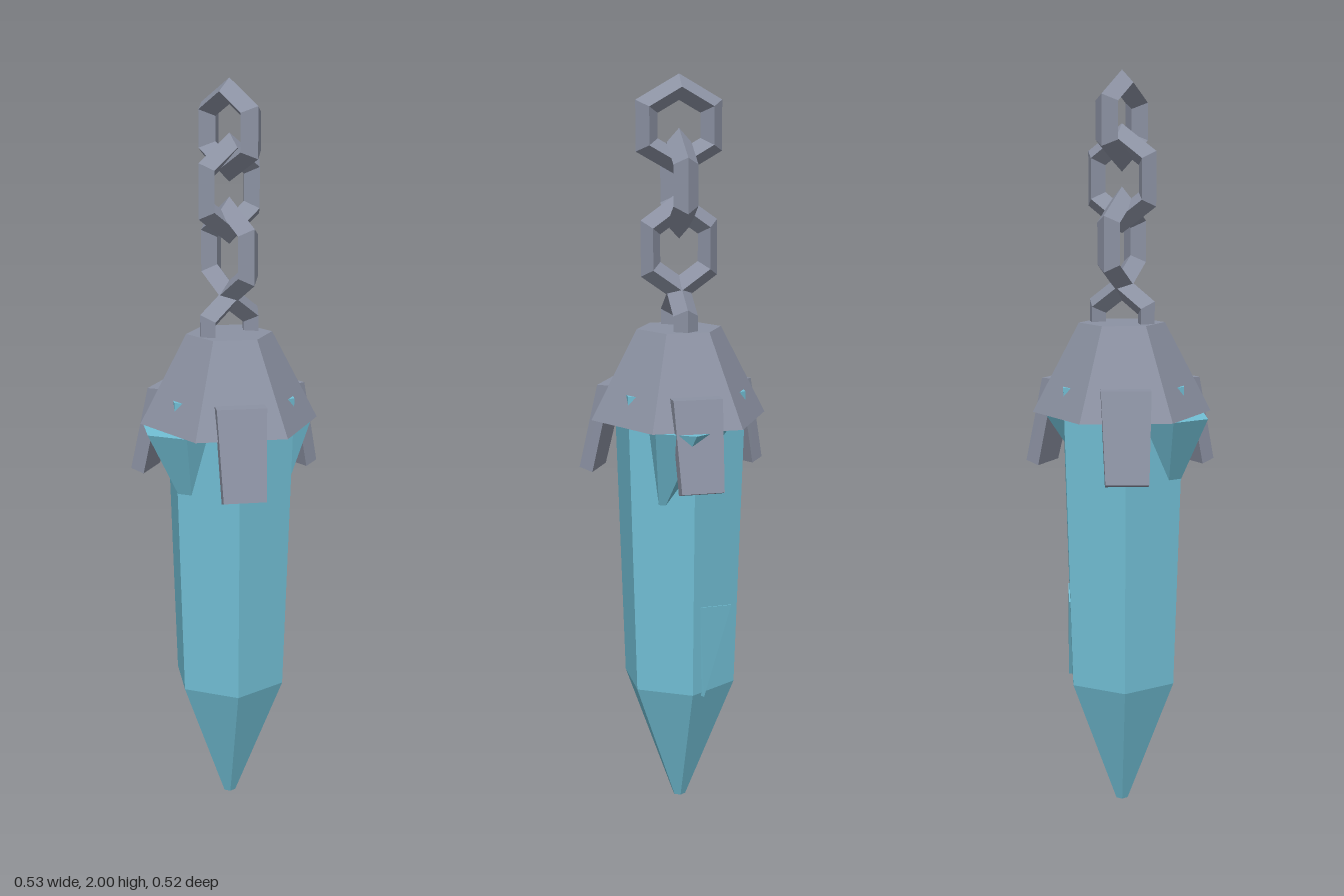
import * as THREE from 'three';

export function createModel() {
  const model = new THREE.Group();
  model.name = 'crystalPendant';

  const metal = new THREE.MeshStandardMaterial({ name: 'grey metal', color: 0x8c92a3, flatShading: true });
  const crystal = new THREE.MeshStandardMaterial({ name: 'blue crystal', color: 0x72c0d6, flatShading: true });

  const add = (name, geometry, material) => {
    const mesh = new THREE.Mesh(geometry, material);
    mesh.name = name;
    model.add(mesh);
    return mesh;
  };

  // Six-sided crystal, corners on +x and -x
  const profile = [[0, 0], [0.018, 0], [0.158, 0.36], [0.184, 1.183], [0, 1.183]]
    .map(([r, y]) => new THREE.Vector2(r, y));
  add('crystal', new THREE.LatheGeometry(profile, 6, Math.PI / 2), crystal);

  // Side shards: upside-down six-sided cones whose points lean into the crystal
  const addShard = (name, top, apex, radius) => {
    const g = new THREE.ConeGeometry(radius, 1, 6, 1, false, Math.PI / 2);
    const p = g.attributes.position;
    for (let i = 0; i < p.count; i++) {
      const t = p.getY(i) + 0.5; // 0 at the base, 1 at the point
      p.setXYZ(i,
        THREE.MathUtils.lerp(top[0], apex[0], t) + p.getX(i),
        THREE.MathUtils.lerp(top[1], apex[1], t),
        THREE.MathUtils.lerp(top[2], apex[2], t) - p.getZ(i)); // mirrored to keep faces outward
    }
    g.computeVertexNormals();
    add(name, g, crystal);
  };
  addShard('leftShard', [0.145, 1.105, 0.015], [0.11, 0.85, 0.08], 0.11);
  addShard('rightShard', [-0.15, 1.105, -0.015], [-0.13, 0.84, 0.01], 0.11);

  // Thin splinter lying on the back left face of the crystal
  const splinterShape = new THREE.Shape([[-0.058, 0.26], [0.058, 0.24], [-0.045, 0]]
    .map(([x, y]) => new THREE.Vector2(x, y)));
  const splinter = add('splinter',
    new THREE.ExtrudeGeometry(splinterShape, { depth: 0.02, bevelEnabled: false }), crystal);
  splinter.position.set(0.11, 0.35, -0.063);
  splinter.rotation.y = Math.PI * 2 / 3;

  // Six-sided cap, corners on +z and -z
  add('cap', new THREE.CylinderGeometry(0.115, 0.24, 0.24, 6), metal).position.y = 1.225;

  // Clamps: boxes leaning outward at the bottom and narrowing slightly
  const clampGeometry = new THREE.BoxGeometry(1, 1, 1);
  const cp = clampGeometry.attributes.position;
  for (let i = 0; i < cp.count; i++) {
    const outer = cp.getX(i) > 0, upper = cp.getY(i) > 0, side = Math.sign(cp.getZ(i));
    const x = upper ? (outer ? 0.21 : 0.171) : (outer ? 0.267 : 0.23);
    const y = upper ? 1.19 : (outer ? 0.957 : 0.945);
    cp.setXYZ(i, x, y, side * (upper ? 0.065 : 0.056));
  }
  clampGeometry.computeVertexNormals();
  for (let i = 0; i < 3; i++) {
    add('clamp' + (i + 1), clampGeometry, metal).rotation.y = i * Math.PI * 2 / 3;
  }

  // Chain: six-sided links with a diamond section, turned in alternate directions
  const linkGeometry = new THREE.TorusGeometry(0.097, 0.033, 4, 6).rotateZ(Math.PI / 6);
  const links = [
    // centre height, half width, half height
    [1.87, 0.115, 0.13],
    [1.722, 0.1, 0.142],
    [1.556, 0.103, 0.146],
    [1.333, 0.097, 0.142],
  ];
  links.forEach(([y, halfWidth, halfHeight], i) => {
    const link = add('chainLink' + (i + 1), linkGeometry, metal);
    link.position.y = y;
    link.scale.set(halfWidth / 0.1126, halfHeight / 0.13, 1);
    if (i % 2 === 0) link.rotation.y = Math.PI / 2;
  });

  // Small shift so the uneven shards balance around x = 0
  for (const part of model.children) part.position.x -= 0.004;
  return model;
}
